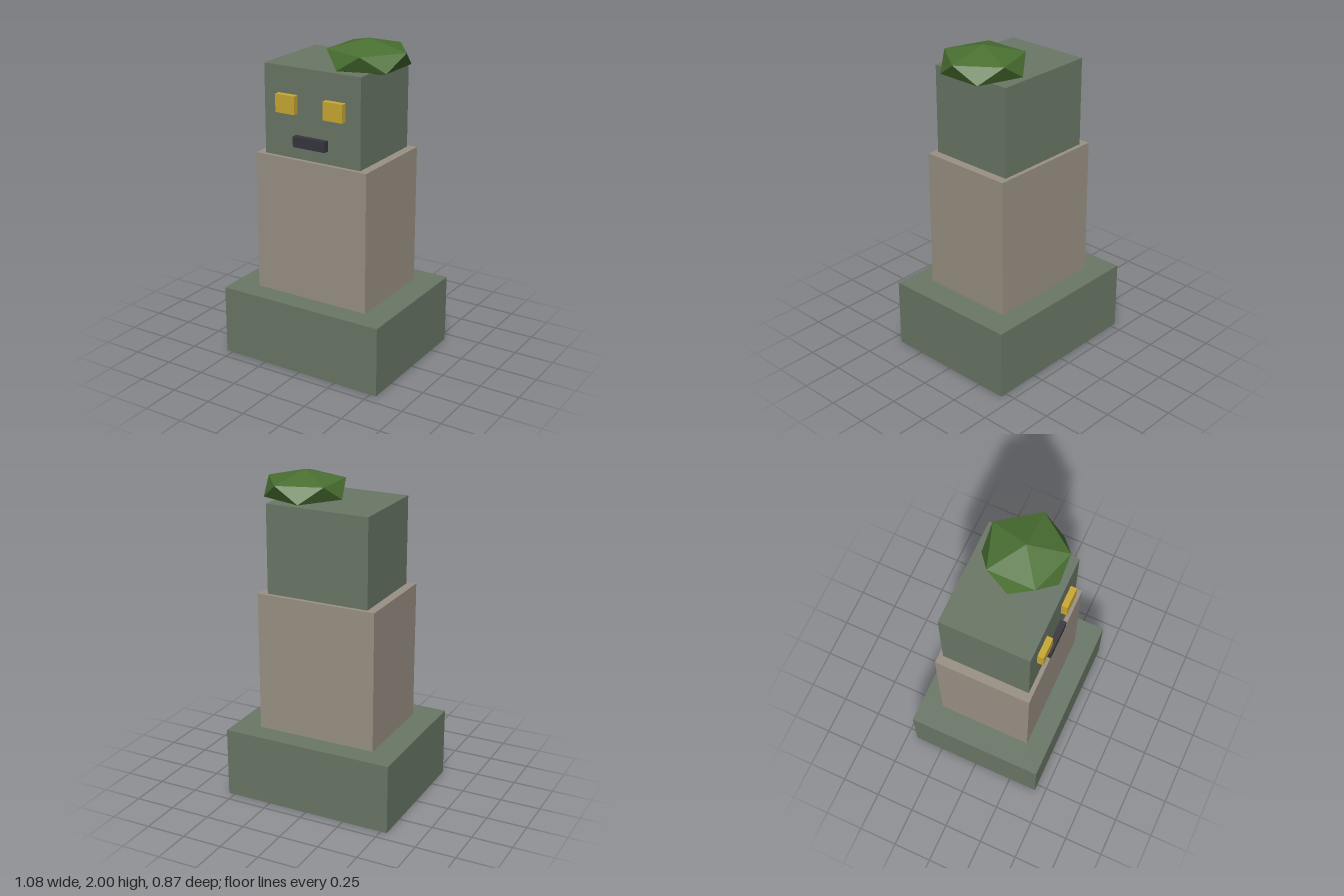
import * as THREE from 'three';

const paint = (name, color) => {
  const material = new THREE.MeshStandardMaterial({ color });
  material.name = name;
  return material;
};

export function createModel() {
  const model = new THREE.Group();
  model.name = 'stoneStatue';

  const mossyStone = paint('mossyStone', 0x6a7766);
  const paleStone = paint('paleStone', 0x9a9184);
  const amber = paint('amber', 0xc9a832);
  const charcoal = paint('charcoal', 0x37363e);
  const leaf = paint('leaf', 0x4a7032);
  leaf.flatShading = true;

  const add = (name, geometry, material, x, y, z) => {
    const mesh = new THREE.Mesh(geometry, material);
    mesh.name = name;
    mesh.position.set(x, y, z);
    model.add(mesh);
  };
  // Box given by its width, bottom, top, back and front
  const block = (name, material, x, width, y0, y1, z0, z1) =>
    add(name, new THREE.BoxGeometry(width, y1 - y0, z1 - z0), material,
      x, (y0 + y1) / 2, (z0 + z1) / 2);

  // Stacked blocks
  block('base', mossyStone, 0, 1.08, 0, 0.433, -0.433, 0.433);
  block('torso', paleStone, 0, 0.758, 0.433, 1.298, -0.297, 0.297);
  block('head', mossyStone, 0, 0.65, 1.298, 1.842, -0.271, 0.271);

  // Face
  for (const side of [-1, 1]) {
    block(side > 0 ? 'leftEye' : 'rightEye', amber, side * 0.162, 0.13, 1.57, 1.68, 0.23, 0.308);
  }
  block('mouth', charcoal, 0, 0.217, 1.378, 1.442, 0.23, 0.308);

  // Flattened foliage tuft, turned so one corner points straight up
  const tuft = new THREE.IcosahedronGeometry(1, 0);
  tuft.rotateZ(-Math.atan(2 / (1 + Math.sqrt(5))));
  tuft.scale(0.272, 0.108, 0.272);
  add('foliageTuft', tuft, leaf, 0.216, 1.892, 0);

  return model;
}
